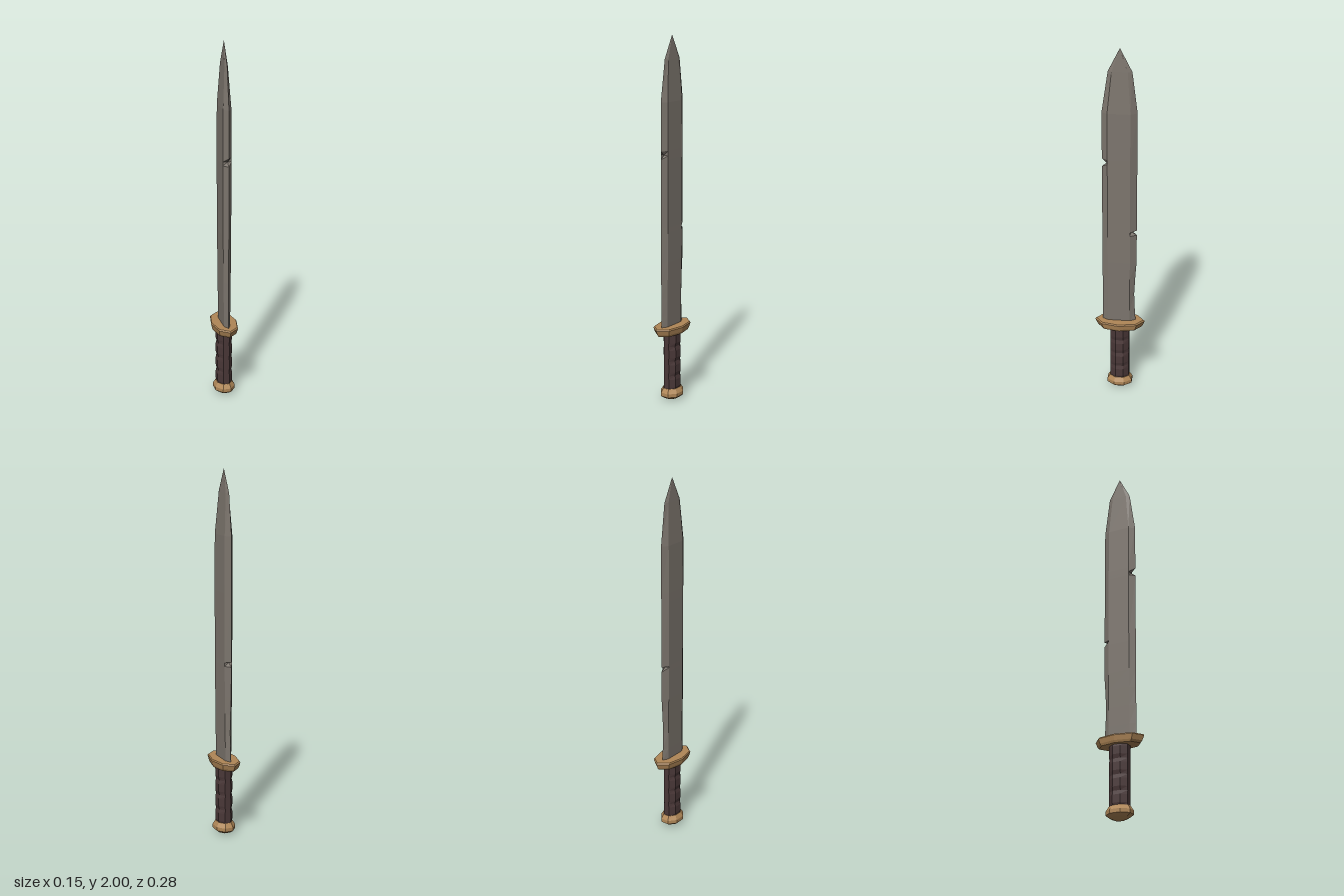
import * as THREE from 'three';

const mat = (name, color) => {
  const m = new THREE.MeshStandardMaterial({ color, flatShading: true });
  m.name = name;
  return m;
};

// Joins closed rings of [x, y, z] points, stacked upward, and caps both ends
function loft(rings) {
  const pos = [];
  const tri = (...pts) => pts.forEach(p => pos.push(...p));
  const n = rings[0].length;
  const centre = r => [0, 1, 2].map(k => r.reduce((s, p) => s + p[k], 0) / n);
  const first = rings[0], last = rings[rings.length - 1];
  for (let i = 0; i < n; i++) {
    const j = (i + 1) % n;
    for (let k = 0; k < rings.length - 1; k++) {
      const a = rings[k], b = rings[k + 1];
      tri(a[i], b[i], a[j]);
      tri(a[j], b[i], b[j]);
    }
    tri(centre(first), first[i], first[j]);
    tri(centre(last), last[j], last[i]);
  }
  const g = new THREE.BufferGeometry();
  g.setAttribute('position', new THREE.Float32BufferAttribute(pos, 3));
  g.computeVertexNormals();
  return g;
}

// Eight-sided ring with flat sides facing the axes, at half widths rx and rz
function octagon(y, rx, rz) {
  const c = Math.cos(Math.PI / 8);
  return Array.from({ length: 8 }, (_, i) => {
    const a = (i + 0.5) * Math.PI / 4;
    return [Math.cos(a) * rx / c, y, Math.sin(a) * rz / c];
  });
}

export function createModel() {
  const group = new THREE.Group();
  const steel = mat('worn steel', 0x7d766e);
  const brass = mat('brass', 0xb08757);
  const leather = mat('dark leather', 0x4a3838);
  const add = (name, rings, material) => {
    const mesh = new THREE.Mesh(loft(rings), material);
    mesh.name = name;
    group.add(mesh);
  };

  // Blade: height, front edge, back edge, half thickness; nicks cut into both edges
  const sections = [
    [0.42, 0.095, -0.088, 0.017],
    [0.50, 0.095, -0.083, 0.018],
    [0.60, 0.095, -0.079, 0.019],
    [0.70, 0.095, -0.084, 0.020],
    [0.80, 0.095, -0.091, 0.021],
    [0.965, 0.095, -0.091, 0.022],
    [0.985, 0.095, -0.058, 0.022],
    [0.992, 0.095, -0.091, 0.022],
    [1.36, 0.095, -0.091, 0.024],
    [1.38, 0.070, -0.091, 0.024],
    [1.405, 0.095, -0.091, 0.024],
    [1.66, 0.095, -0.091, 0.022],
    [1.88, 0.062, -0.063, 0.009],
    [2.00, 0.001, -0.001, 0.0005],
  ];
  add('blade', sections.map(([y, f, b, t]) => {
    const bf = y > 1.7 ? f * 0.68 : 0.064;
    const bb = y > 1.7 ? b * 0.64 : -0.056;
    return [[t, y, bb], [t, y, bf], [0, y, f], [-t, y, bf], [-t, y, bb], [0, y, b]];
  }), steel);

  // Guard: pointed oval plate, narrower below
  const outline = [[0.073, 0], [0.053, 0.097], [0, 0.139], [-0.053, 0.097],
    [-0.073, 0], [-0.053, -0.097], [0, -0.139], [-0.053 * -1, -0.097]];
  add('guard', [[0.39, 0.85], [0.402, 0.92], [0.428, 1], [0.435, 0.95]].map(
    ([y, s]) => outline.map(([x, z]) => [x * s, y, z * s])), brass);

  // Grip: shallow finger swells on the two broad sides
  const grip = [];
  for (let i = 0; i <= 16; i++) {
    const swell = i % 4 === 0 ? 0.037 : 0.042;
    grip.push(octagon(0.06 + i * 0.34 / 16, swell, 0.052));
  }
  add('grip', grip, leather);

  // Pommel: faceted knob with a shallow pointed underside
  add('pommel', [[0, 0.018, 0.024], [0.012, 0.04, 0.051], [0.026, 0.056, 0.069],
    [0.046, 0.056, 0.069], [0.07, 0.042, 0.054]].map(r => octagon(...r)), brass);

  return group;
}
